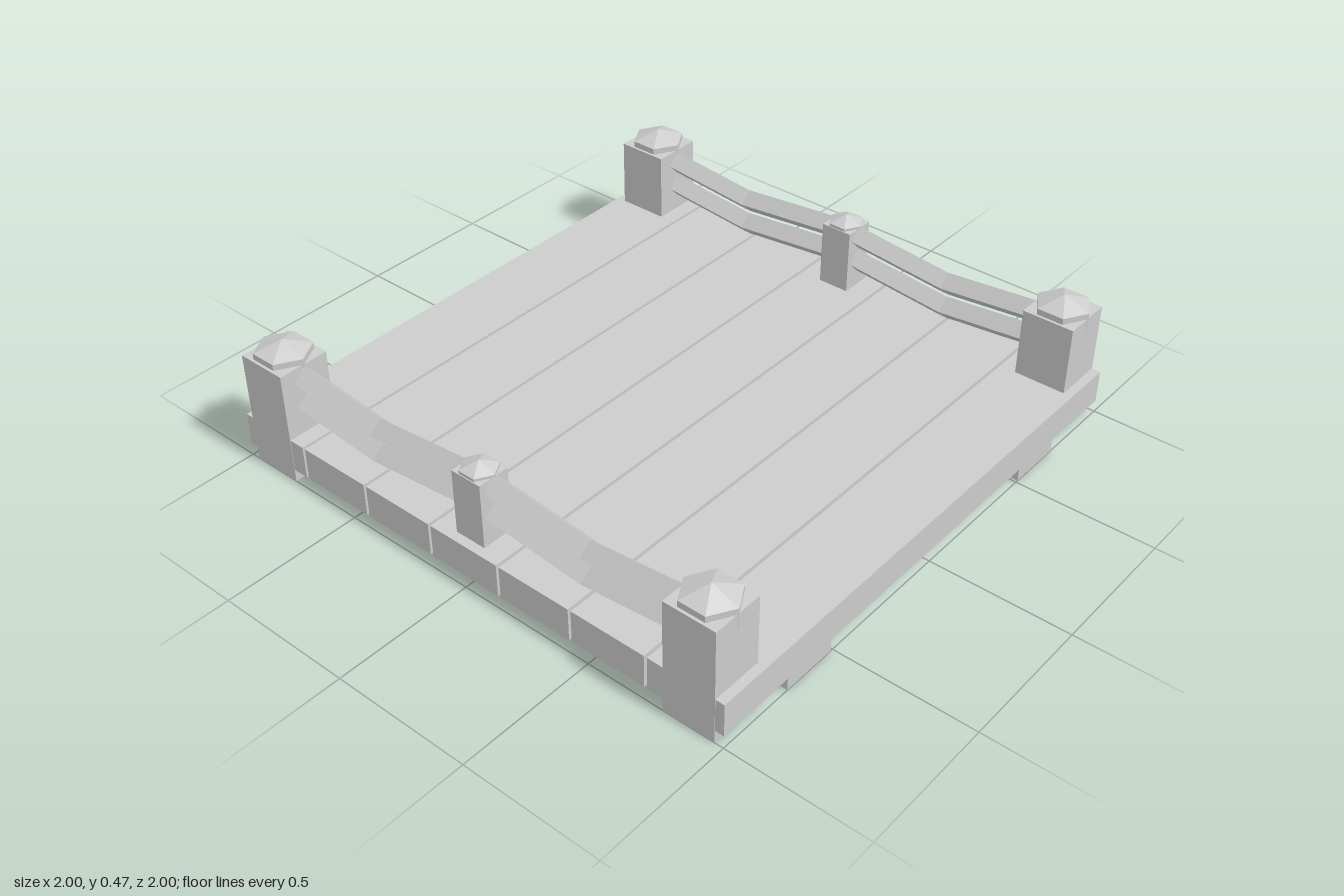
import * as THREE from 'three';

export function createModel() {
  const model = new THREE.Group();
  model.name = 'deckWithRailings';
  const wood = new THREE.MeshStandardMaterial({ color: 0xcccccc, flatShading: true });
  wood.name = 'pale grey';

  const add = (name, geometry, x, y, z) => {
    const mesh = new THREE.Mesh(geometry, wood);
    mesh.name = name;
    mesh.position.set(x, y, z);
    model.add(mesh);
    return mesh;
  };
  // Box given by its centre in x and z and its bottom and top
  const block = (name, w, d, y0, y1, x, z) =>
    add(name, new THREE.BoxGeometry(w, y1 - y0, d), x, (y0 + y1) / 2, z);

  // Hexagonal cap: short prism sunk into the post, with a pyramid on top
  const cap = (name, radius, y0, y1, peak, x, z) => {
    const profile = [[0, y0], [radius, y0], [radius, y1], [0, peak]];
    const points = profile.map(([r, y]) => new THREE.Vector2(r, y));
    add(name, new THREE.LatheGeometry(points, 6), x, 0, z);
  };

  // Square rail set on edge, running between two points in the yz plane
  const rail = (x, yA, zA, yB, zB) => {
    const a = new THREE.Vector3(x, yA, zA);
    const b = new THREE.Vector3(x, yB, zB);
    const dir = b.clone().sub(a);
    const mesh = add('rail', new THREE.CylinderGeometry(0.043, 0.043, dir.length(), 4),
      x, (yA + yB) / 2, (zA + zB) / 2);
    mesh.quaternion.setFromUnitVectors(new THREE.Vector3(0, 1, 0), dir.normalize());
  };

  // Deck planks with narrow gaps
  const count = 7, gap = 0.011;
  const width = (2 - gap * (count - 1)) / count;
  for (let i = 0; i < count; i++) {
    block('plank', 1.997, width, 0.045, 0.165, 0, -1 + width / 2 + i * (width + gap));
  }

  for (const side of [-1, 1]) {
    const x = side * 0.907;

    // Support beam under the planks
    block('beam', 0.204, 2, 0, 0.045, side * 0.612, 0);

    // Small middle post
    block('middlePost', 0.116, 0.116, 0.1, 0.4, x, 0);
    cap('middleCap', 0.063, 0.37, 0.41, 0.435, x, 0);

    for (const end of [-1, 1]) {
      // Corner post that also forms the foot
      block('cornerPost', 0.186, 0.186, 0, 0.413, x, end * 0.875);
      cap('cornerCap', 0.096, 0.36, 0.435, 0.47, x, end * 0.875);

      // Two sagging rails, each made of two straight lengths
      for (const y of [0.327, 0.231]) {
        rail(x, y + 0.039, end * 0.83, y, end * 0.435);
        rail(x, y, end * 0.435, y + 0.04, end * 0.03);
      }
    }
  }
  return model;
}
